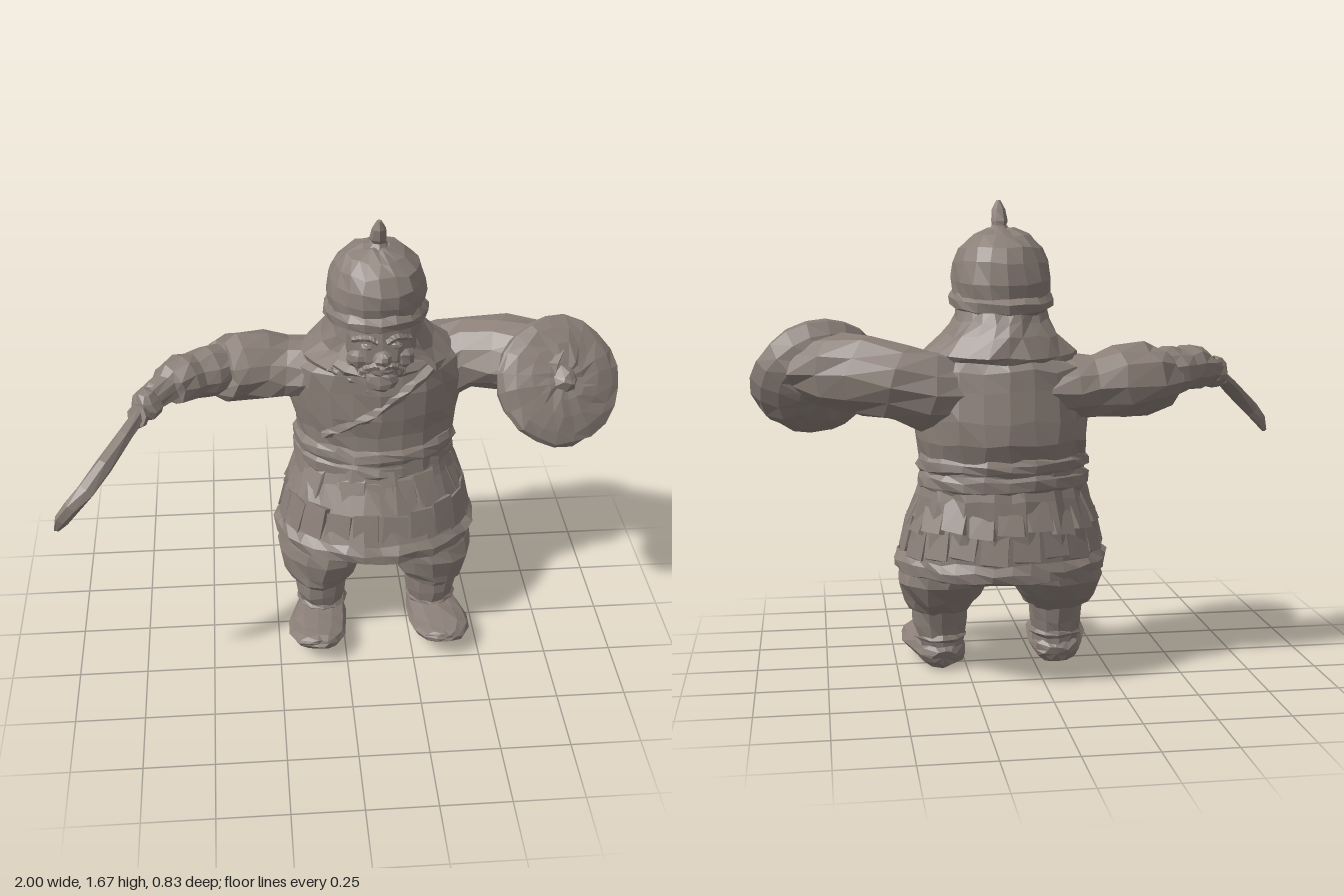
import * as THREE from 'three';

const CX = 0.13; // body axis
const clay = new THREE.MeshStandardMaterial({ color: 0x8b7f78, side: THREE.DoubleSide, flatShading: true });
clay.name = 'warm grey clay';

// Hand-carved unevenness: equal positions always move equally
function carve(geo, amount) {
  const p = geo.attributes.position;
  const noise = (x, y, z, k) => {
    const s = Math.sin(x * 127.1 + y * 311.7 + z * 74.7 + k * 19.3) * 4375.5;
    return (s - Math.floor(s) - 0.5) * 2 * amount;
  };
  for (let i = 0; i < p.count; i++) {
    const [x, y, z] = [p.getX(i), p.getY(i), p.getZ(i)].map((v) => Math.round(v * 1000) / 1000);
    p.setXYZ(i, p.getX(i) + noise(x, y, z, 1), p.getY(i) + noise(x, y, z, 2), p.getZ(i) + noise(x, y, z, 3));
  }
  geo.computeVertexNormals();
  return geo;
}

// Skin a list of rings; closed rings get end caps
function skin(rings, closed = true) {
  const n = rings[0].length, pos = rings.flat().flatMap((v) => [v.x, v.y, v.z]), idx = [];
  for (let i = 0; i < rings.length - 1; i++) {
    for (let j = 0; j < (closed ? n : n - 1); j++) {
      const a = i * n + j, b = i * n + (j + 1) % n;
      idx.push(a, b, a + n, b, b + n, a + n);
    }
  }
  if (closed) {
    [0, rings.length - 1].forEach((r, end) => {
      const c = rings[r].reduce((s, v) => s.add(v), new THREE.Vector3()).divideScalar(n);
      const k = pos.length / 3;
      pos.push(c.x, c.y, c.z);
      for (let j = 0; j < n; j++) {
        const a = r * n + j, b = r * n + (j + 1) % n;
        if (end) idx.push(k, a, b); else idx.push(k, b, a);
      }
    });
  }
  const g = new THREE.BufferGeometry();
  g.setAttribute('position', new THREE.Float32BufferAttribute(pos, 3));
  g.setIndex(idx);
  return g;
}

// Upright form from sections [x, y, z, rx, rz, forward tilt, pleat depth]
function upright(sections, n, a0 = 0, a1 = Math.PI * 2) {
  const closed = a1 - a0 > 6.28;
  return skin(sections.map(([x, y, z, rx, rz, tilt = 0, pleat = 0]) =>
    Array.from({ length: closed ? n : n + 1 }, (_, j) => {
      const a = a0 + (a1 - a0) * j / n, k = 1 + (j % 2 ? pleat : -pleat);
      return new THREE.Vector3(x + Math.sin(a) * rx * k, y + Math.cos(a) * tilt, z + Math.cos(a) * rz * k);
    })), closed);
}

// Limb along points [x, y, z, sideways radius, vertical radius]
function limb(points, n) {
  const c = points.map((p) => new THREE.Vector3(p[0], p[1], p[2]));
  return skin(c.map((p, i) => {
    const d = c[Math.min(i + 1, c.length - 1)].clone().sub(c[Math.max(i - 1, 0)]).normalize();
    const u = new THREE.Vector3(0, 1, 0).cross(d).normalize(), v = d.clone().cross(u);
    return Array.from({ length: n }, (_, j) => {
      const a = j / n * Math.PI * 2;
      return p.clone().addScaledVector(u, Math.cos(a) * points[i][3]).addScaledVector(v, Math.sin(a) * points[i][4]);
    });
  }));
}

export function createModel() {
  const model = new THREE.Group();
  const add = (name, geo, rough = 0.005, parent = model) => {
    const m = new THREE.Mesh(carve(geo, rough), clay);
    m.name = name;
    parent.add(m);
    return m;
  };
  const blob = (name, x, y, z, rx, ry, rz, rough = 0.003) =>
    add(name, new THREE.SphereGeometry(1, 9, 6).scale(rx, ry, rz).translate(x, y, z), rough);
  const cord = (name, pts, r, rough = 0.003, sides = 5) => add(name, new THREE.TubeGeometry(
    new THREE.CatmullRomCurve3(pts.map((p) => new THREE.Vector3(...p))), 14, r, sides), rough);

  // Coat and pleated skirt
  add('coat', upright([
    [CX, 0.70, -0.16, 0.29, 0.215], [CX, 0.79, -0.165, 0.285, 0.21], [CX, 0.86, -0.178, 0.298, 0.22],
    [CX, 0.93, -0.172, 0.308, 0.215], [CX, 1.03, -0.165, 0.318, 0.203], [CX, 1.10, -0.16, 0.305, 0.188],
    [CX, 1.145, -0.15, 0.23, 0.172], [CX, 1.22, -0.12, 0.14, 0.14]], 22), 0.009);
  add('skirt', upright([
    [CX, 0.39, -0.11, 0.345, 0.28, 0.01], [CX, 0.395, -0.11, 0.375, 0.305, 0.01], [CX, 0.43, -0.112, 0.38, 0.305, 0.01],
    [CX, 0.455, -0.115, 0.358, 0.288, 0.01, 0.015], [CX, 0.57, -0.135, 0.33, 0.264, 0, 0.02],
    [CX, 0.66, -0.155, 0.302, 0.23, 0, 0.015], [CX, 0.73, -0.16, 0.285, 0.21]], 36), 0.007);
  // Overlapping armour strips sunk into the skirt
  const strips = new THREE.Group();
  strips.name = 'skirtStrips';
  model.add(strips);
  [[0.61, 0.302, 0.233, -0.147, 0.14], [0.505, 0.337, 0.27, -0.123, 0.12]].forEach(([y, rx, rz, z, h], row) => {
    for (let i = 0; i < 20; i++) {
      const a = (i + row * 0.5) / 20 * Math.PI * 2;
      const strip = add('skirtStrip', new THREE.BoxGeometry(0.09, h, 0.02), 0.009, strips);
      strip.position.set(CX + Math.sin(a) * rx, y + (i % 3) * 0.01, z + Math.cos(a) * rz);
      strip.rotation.set(-0.3, Math.atan2(Math.sin(a) / rx, Math.cos(a) / rz), (i % 4 - 1.5) * 0.04, 'YXZ');
    }
  });
  // Wrapped sash
  [[0.715, 0.035], [0.775, 0.032]].forEach(([y, h]) => add('sash', upright([
    [CX, y - h, -0.16, 0.285, 0.212], [CX, y - h * 0.5, -0.162, 0.302, 0.224],
    [CX, y + h * 0.4, -0.164, 0.30, 0.222], [CX, y + h, -0.164, 0.285, 0.21]], 22), 0.007));
  // Chest lapel folds
  cord('lapel', [[0.34, 1.13, -0.02], [0.22, 1.04, 0.025], [0.08, 0.94, 0.035], [-0.07, 0.85, -0.01]], 0.018, 0.005);
  cord('lapelInner', [[-0.05, 1.12, -0.02], [0.06, 1.07, 0.015], [0.16, 1.0, 0.03]], 0.014, 0.005);
  add('collar', upright([[CX, 1.11, -0.11, 0.19, 0.16], [CX, 1.13, -0.105, 0.20, 0.175], [CX, 1.16, -0.1, 0.15, 0.15]], 18), 0.009);

  // Legs: baggy breeches, wrapped shins and upturned boots
  for (const s of [-1, 1]) {
    const at = (d) => CX + s * d;
    add('breeches', upright([
      [at(0.21), 0.205, -0.02, 0.08, 0.10], [at(0.213), 0.225, -0.028, 0.118, 0.122], [at(0.208), 0.26, -0.042, 0.14, 0.148],
      [at(0.20), 0.33, -0.06, 0.172, 0.178], [at(0.185), 0.38, -0.07, 0.175, 0.178], [at(0.175), 0.45, -0.08, 0.165, 0.175]], 14), 0.008);
    add('shin', upright([
      [at(0.21), 0.06, -0.02, 0.082, 0.085], [at(0.21), 0.11, -0.02, 0.085, 0.09],
      [at(0.21), 0.16, -0.02, 0.097, 0.10], [at(0.21), 0.23, -0.025, 0.10, 0.108]], 12), 0.006);
    add('shinWrap', upright([[at(0.21), 0.10, -0.02, 0.085, 0.09], [at(0.21), 0.112, -0.02, 0.097, 0.10],
      [at(0.21), 0.126, -0.02, 0.087, 0.09]], 12), 0.004);
    add('boot', limb([
      [at(0.205), 0.042, -0.105, 0.045, 0.03], [at(0.207), 0.052, -0.08, 0.08, 0.052], [at(0.215), 0.06, 0.0, 0.097, 0.056],
      [at(0.232), 0.064, 0.10, 0.11, 0.046], [at(0.238), 0.075, 0.18, 0.106, 0.038],
      [at(0.238), 0.084, 0.235, 0.075, 0.028], [at(0.238), 0.09, 0.255, 0.035, 0.014]], 12), 0.004);
  }

  // Sword arm: full sleeve with folds, bracer, fist
  add('swordSleeve', limb([
    [0.0, 1.02, -0.185, 0.145, 0.115], [-0.13, 1.03, -0.195, 0.148, 0.118], [-0.19, 1.035, -0.20, 0.135, 0.112],
    [-0.27, 1.045, -0.20, 0.142, 0.125], [-0.37, 1.05, -0.18, 0.135, 0.125], [-0.43, 1.055, -0.15, 0.125, 0.11],
    [-0.445, 1.06, -0.14, 0.09, 0.08]], 12), 0.01);
  add('swordForearm', limb([
    [-0.40, 1.06, -0.165, 0.09, 0.085], [-0.48, 1.07, -0.125, 0.105, 0.09], [-0.525, 1.073, -0.095, 0.09, 0.078],
    [-0.56, 1.075, -0.07, 0.096, 0.082], [-0.61, 1.072, -0.035, 0.085, 0.072], [-0.62, 1.07, -0.02, 0.058, 0.05],
    [-0.68, 1.05, 0.04, 0.048, 0.042]], 11), 0.007);
  blob('swordFist', -0.685, 1.045, 0.05, 0.058, 0.055, 0.062, 0.006);

  // Curved sword
  add('swordBlade', limb([
    [-0.70, 1.04, 0.08, 0.026, 0.024], [-0.765, 1.0, 0.19, 0.03, 0.026], [-0.83, 0.955, 0.29, 0.032, 0.028],
    [-0.89, 0.90, 0.36, 0.032, 0.03], [-0.94, 0.855, 0.388, 0.026, 0.03], [-0.975, 0.81, 0.395, 0.02, 0.025],
    [-0.997, 0.77, 0.395, 0.006, 0.008]], 7), 0.003);
  add('swordGuard', new THREE.CylinderGeometry(0.042, 0.042, 0.02, 7).rotateX(1.2).rotateY(-0.55).translate(-0.715, 1.03, 0.105), 0.004);
  cord('swordGrip', [[-0.70, 1.04, 0.09], [-0.68, 1.065, 0.05], [-0.66, 1.09, 0.01]], 0.022);

  // Shield arm: heavy sleeve merging into the shield back
  add('shieldSleeve', limb([
    [0.26, 1.02, -0.19, 0.145, 0.12], [0.39, 1.025, -0.23, 0.135, 0.14], [0.49, 1.055, -0.215, 0.13, 0.135],
    [0.60, 1.08, -0.155, 0.145, 0.135], [0.70, 1.085, -0.095, 0.155, 0.13], [0.80, 1.085, -0.04, 0.13, 0.11]], 12), 0.01);

  // Thick round shield with domed face, rounded back and boss
  const shield = new THREE.Group();
  shield.name = 'shield';
  shield.position.set(0.768, 1.062, 0.03);
  shield.quaternion.setFromUnitVectors(new THREE.Vector3(0, 1, 0), new THREE.Vector3(0.25, 0.52, 0.815).normalize());
  model.add(shield);
  const profile = [[0, -0.15], [0.10, -0.142], [0.17, -0.112], [0.215, -0.06], [0.235, -0.005], [0.228, 0.018],
    [0.19, 0.036], [0.13, 0.05], [0.07, 0.058], [0, 0.06]];
  add('shieldDisc', new THREE.LatheGeometry(profile.map((p) => new THREE.Vector2(...p)), 20), 0.006, shield);
  add('shieldBoss', new THREE.CylinderGeometry(0.022, 0.055, 0.04, 7).translate(0, 0.068, 0), 0.006, shield);

  // Head and face
  add('head', upright([
    [CX, 1.09, -0.03, 0.06, 0.08], [CX, 1.13, -0.03, 0.10, 0.11], [CX, 1.20, -0.035, 0.125, 0.13],
    [CX, 1.27, -0.045, 0.13, 0.13], [CX, 1.35, -0.06, 0.13, 0.13]], 14), 0.005);
  blob('nose', CX, 1.215, 0.095, 0.034, 0.028, 0.034);
  blob('mouth', CX, 1.165, 0.085, 0.05, 0.02, 0.022);
  blob('chinBeard', CX, 1.115, 0.06, 0.06, 0.045, 0.045, 0.006);
  for (const s of [-1, 1]) {
    blob('eye', CX + s * 0.05, 1.25, 0.068, 0.024, 0.014, 0.016);
    blob('cheek', CX + s * 0.075, 1.195, 0.045, 0.045, 0.04, 0.035, 0.005);
    cord('brow', [[CX + s * 0.015, 1.27, 0.08], [CX + s * 0.05, 1.285, 0.073], [CX + s * 0.1, 1.265, 0.042]], 0.012, 0.002);
    cord('moustache', [[CX + s * 0.005, 1.187, 0.1], [CX + s * 0.04, 1.18, 0.09], [CX + s * 0.075, 1.145, 0.065]], 0.014, 0.003);
  }

  // Neck guard: flared cloth, open at the face
  const open = 0.8;
  add('neckGuard', upright([
    [CX - 0.005, 1.33, -0.08, 0.155, 0.19, 0.02], [CX - 0.005, 1.27, -0.09, 0.165, 0.215, 0.01],
    [CX, 1.21, -0.105, 0.205, 0.225], [CX, 1.155, -0.115, 0.27, 0.24, 0.01], [CX, 1.13, -0.115, 0.262, 0.225, 0.01],
    [CX, 1.20, -0.10, 0.185, 0.20]], 18, open, Math.PI * 2 - open), 0.008);

  // Helmet: dome, rolled rim and finial
  const HX = 0.12;
  add('helmetDome', upright([
    [HX, 1.33, -0.075, 0.168, 0.195, 0.025], [HX, 1.40, -0.075, 0.175, 0.20, 0.012], [HX, 1.46, -0.07, 0.168, 0.19],
    [HX, 1.51, -0.067, 0.145, 0.16], [HX, 1.55, -0.062, 0.10, 0.11], [HX, 1.573, -0.055, 0.045, 0.05]], 18), 0.006);
  add('helmetRim', upright([
    [HX, 1.305, -0.077, 0.168, 0.195, 0.025], [HX, 1.312, -0.077, 0.18, 0.215, 0.025],
    [HX, 1.342, -0.077, 0.183, 0.218, 0.025], [HX, 1.362, -0.077, 0.168, 0.195, 0.025]], 20), 0.005);
  add('helmetFinial', upright([
    [0.125, 1.56, -0.06, 0.045, 0.05], [0.125, 1.585, -0.057, 0.026, 0.032], [0.125, 1.60, -0.052, 0.03, 0.036],
    [0.125, 1.64, -0.04, 0.024, 0.024], [0.125, 1.67, -0.033, 0.008, 0.01]], 7), 0.002);

  return model;
}
